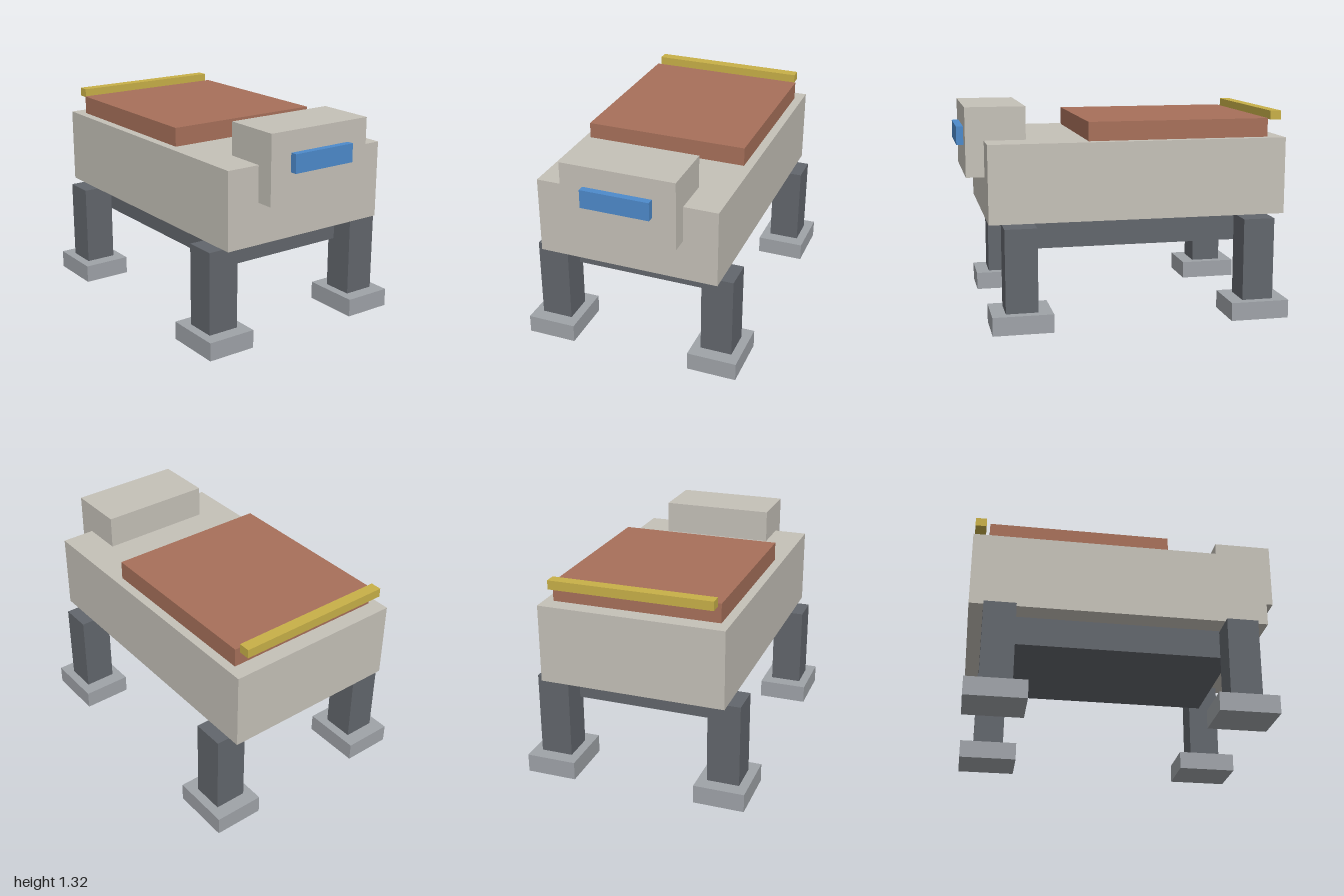
import * as THREE from 'three';

const paint = (name, color) => {
  const m = new THREE.MeshStandardMaterial({ color });
  m.name = name;
  return m;
};

// Box given by its extents on each axis
function block(name, material, [x0, x1], [y0, y1], [z0, z1]) {
  const mesh = new THREE.Mesh(new THREE.BoxGeometry(x1 - x0, y1 - y0, z1 - z0), material);
  mesh.position.set((x0 + x1) / 2, (y0 + y1) / 2, (z0 + z1) / 2);
  mesh.name = name;
  return mesh;
}

export function createModel() {
  const hull = paint('warm grey', 0xc5c1b8);
  const dark = paint('dark grey', 0x62666c);
  const pad = paint('light grey', 0x9fa3a8);
  const rust = paint('rust', 0xa7705a);
  const blue = paint('blue', 0x4d8acb);
  const gold = paint('gold', 0xc8b048);

  const model = new THREE.Group();
  model.name = 'walker';

  // Body, belly, head and deck
  model.add(
    block('body', hull, [-0.567, 0.567], [0.642, 1.12], [-1, 0.845]),
    block('belly', dark, [-0.425, 0.425], [0.457, 0.66], [-0.785, 0.63]),
    block('head', hull, [-0.355, 0.355], [0.898, 1.323], [0.59, 0.957]),
    block('visor', blue, [-0.213, 0.213], [1.08, 1.194], [0.93, 1]),
    block('backPanel', rust, [-0.512, 0.512], [1.1, 1.236], [-0.9, 0.232]),
    block('rearBar', gold, [-0.497, 0.497], [1.225, 1.28], [-0.992, -0.922])
  );

  // Four legs with square feet
  for (const side of [-1, 1]) {
    for (const [end, z] of [['front', 0.663], ['rear', -0.815]]) {
      const leg = new THREE.Group();
      leg.name = end + (side > 0 ? 'LeftLeg' : 'RightLeg');
      leg.add(
        block('shin', dark, [-0.099, 0.099], [0.01, 0.627], [-0.098, 0.098]),
        block('foot', pad, [-0.155, 0.155], [0, 0.114], [-0.184, 0.184])
      );
      leg.position.set(side * 0.538, 0, z);
      model.add(leg);
    }
  }
  return model;
}
